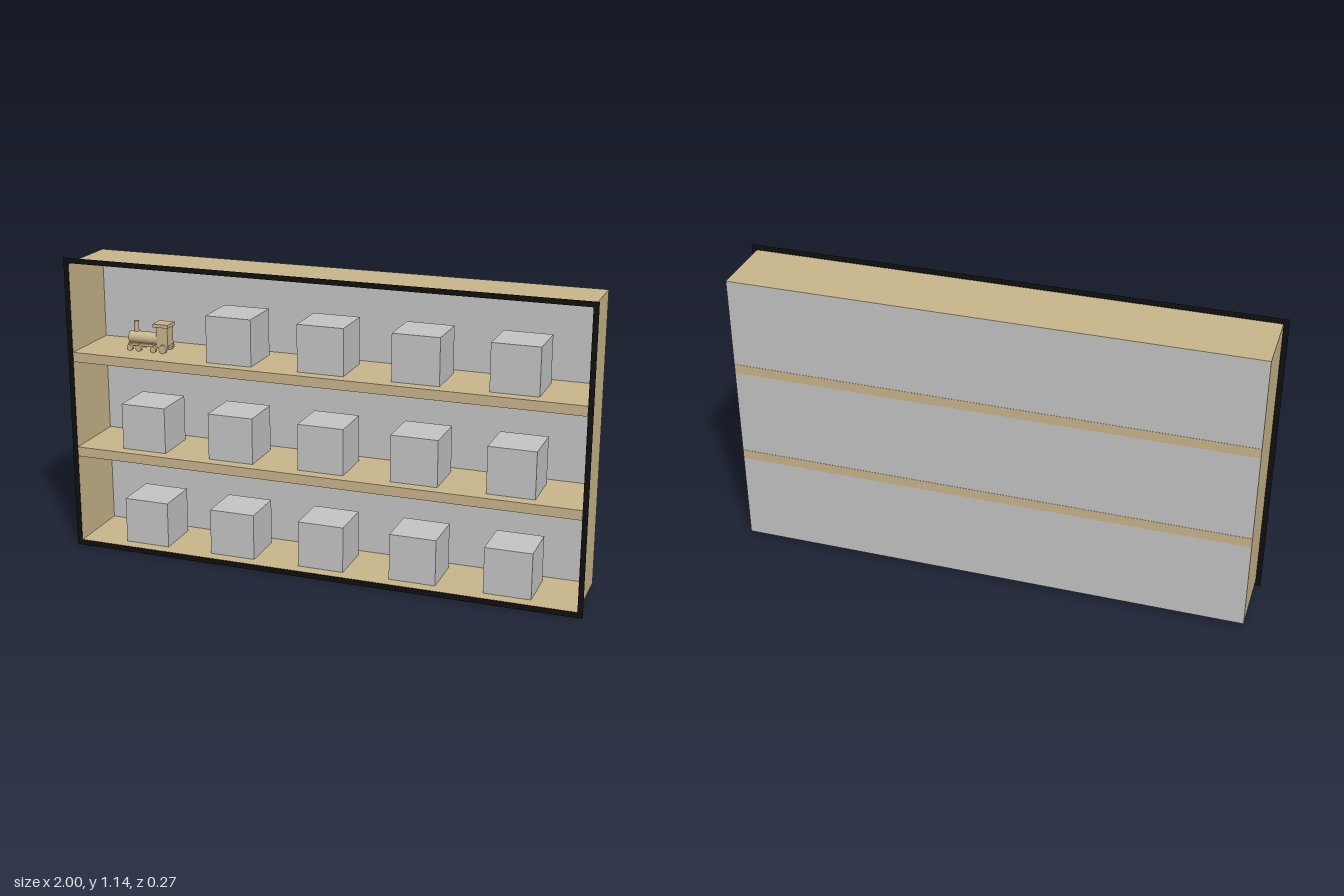
import * as THREE from 'three';

const wood = new THREE.MeshStandardMaterial({ color: 0xc9b58b, side: THREE.DoubleSide });
wood.name = 'tan wood';
const grey = new THREE.MeshStandardMaterial({ color: 0xc5c5c5, side: THREE.DoubleSide });
grey.name = 'light grey';
const black = new THREE.MeshStandardMaterial({ color: 0x0f0f0f, side: THREE.DoubleSide });
black.name = 'black trim';

const W = 0.98, Y0 = 0.021, Y1 = 1.125, D = 0.134;
const MID = (Y0 + Y1) / 2;

function add(parent, name, geometry, material, x = 0, y = 0, z = 0) {
  const mesh = new THREE.Mesh(geometry, material);
  mesh.name = name;
  mesh.position.set(x, y, z);
  parent.add(mesh);
  return mesh;
}

// Small toy train, facing -x, standing on y = 0
function makeTrain() {
  const train = new THREE.Group();
  train.name = 'toyTrain';
  const box = (name, w, h, d, x, y) => add(train, name, new THREE.BoxGeometry(w, h, d), wood, x, y, 0);
  const cyl = (name, r, len, x, y, z = 0) => add(train, name, new THREE.CylinderGeometry(r, r, len, 24), wood, x, y, z);

  box('chassis', 0.165, 0.010, 0.05, 0, 0.023);
  cyl('boiler', 0.024, 0.13, -0.018, 0.046).rotation.z = Math.PI / 2;
  cyl('chimney', 0.009, 0.05, -0.058, 0.085);
  box('cab', 0.046, 0.075, 0.05, 0.058, 0.062);
  box('cabRoof', 0.062, 0.013, 0.06, 0.055, 0.104);
  for (const [x, r] of [[-0.072, 0.012], [-0.036, 0.012], [0.025, 0.012], [0.064, 0.016]]) {
    for (const side of [-1, 1]) {
      cyl('wheel', r, 0.012, x, r, side * 0.031).rotation.x = Math.PI / 2;
    }
    cyl('axle', 0.004, 0.06, x, r).rotation.x = Math.PI / 2;
  }
  return train;
}

export function createModel() {
  const model = new THREE.Group();
  model.name = 'displayShelf';

  // Thin cabinet shell, open at the front
  add(model, 'backPanel', new THREE.PlaneGeometry(2 * W, Y1 - Y0), grey, 0, MID, -D).rotation.y = Math.PI;
  for (const s of [-1, 1]) {
    add(model, s > 0 ? 'leftWall' : 'rightWall', new THREE.PlaneGeometry(2 * D, Y1 - Y0), wood, s * W, MID, 0)
      .rotation.y = s * Math.PI / 2;
    add(model, s > 0 ? 'topWall' : 'bottomWall', new THREE.PlaneGeometry(2 * W, 2 * D), wood, 0, s > 0 ? Y1 : Y0, 0)
      .rotation.x = -s * Math.PI / 2;
  }

  // Shelves, just showing through the back panel
  const shelfTops = [0.405, 0.782];
  for (const top of shelfTops) {
    add(model, 'shelf', new THREE.BoxGeometry(2 * W - 0.002, 0.037, 2 * D + 0.001), wood, 0, top - 0.0185, -0.0005);
  }

  // Flat black trim around the front opening
  const trim = new THREE.Shape([[-1, 0], [1, 0], [1, 1.145], [-1, 1.145]].map(p => new THREE.Vector2(...p)));
  trim.holes.push(new THREE.Path([[-W, Y0], [-W, Y1], [W, Y1], [W, Y0]].map(p => new THREE.Vector2(...p))));
  add(model, 'frontTrim', new THREE.ShapeGeometry(trim), black, 0, 0, D + 0.001);

  // Grey cubes in three rows of five; the train takes the upper right place
  const size = 0.178;
  const cube = new THREE.BoxGeometry(size, size, size);
  [Y0 + 0.001, ...shelfTops].forEach((floor, row) => {
    for (let i = 0; i < 5; i++) {
      const x = (i - 2) * 0.358 - 0.002;
      if (row === 2 && i === 0) {
        const train = makeTrain();
        train.position.set(x, floor, 0);
        model.add(train);
      } else {
        add(model, 'cube', cube, grey, x, floor + size / 2, 0);
      }
    }
  });

  return model;
}
